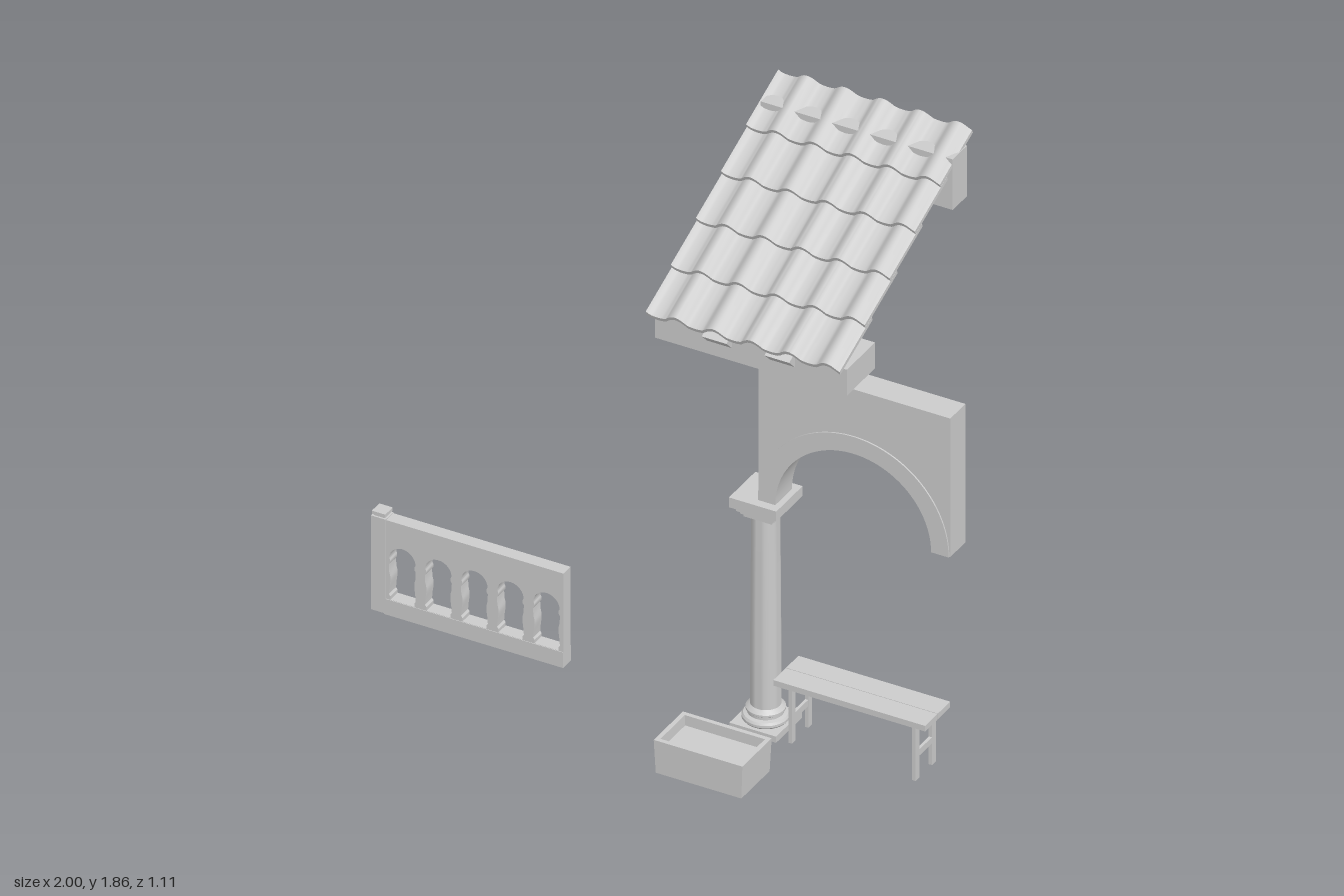
import * as THREE from 'three';
import { toCreasedNormals } from 'three/addons/utils/BufferGeometryUtils.js';

const grey = new THREE.MeshStandardMaterial({ color: 0xcccccc });

function add(parent, name, geometry) {
  const mesh = new THREE.Mesh(geometry, grey);
  mesh.name = name;
  parent.add(mesh);
  return mesh;
}

// Box given by its minimum and maximum on each axis
function box(parent, name, x0, x1, y0, y1, z0, z1) {
  const g = new THREE.BoxGeometry(x1 - x0, y1 - y0, z1 - z0);
  g.translate((x0 + x1) / 2, (y0 + y1) / 2, (z0 + z1) / 2);
  return add(parent, name, g);
}

// Outline in x, y extruded between two depths
function slab(shape, z0, z1) {
  const g = new THREE.ExtrudeGeometry(shape, { depth: z1 - z0, bevelEnabled: false, curveSegments: 32 });
  g.translate(0, 0, z0);
  return toCreasedNormals(g, 0.6);
}

function group(parent, name) {
  const g = new THREE.Group();
  g.name = name;
  parent.add(g);
  return g;
}

function buildRoof(root) {
  const roof = group(root, 'roof');

  // Wavy tile section: round humps with shallow troughs between
  const height = (x) => {
    const pitch = 0.1295;
    const d = x - 0.105 - Math.round((x - 0.105) / pitch) * pitch;
    return Math.abs(d) < 0.038
      ? 0.024 * Math.cos((Math.PI * d) / 0.076)
      : -0.004 * Math.sin((Math.PI * (Math.abs(d) - 0.038)) / 0.0535);
  };
  const top = [], bottom = [];
  const n = 80, thick = 0.013;
  for (let i = 0; i <= n; i++) {
    const x = 0.003 + (0.662 * i) / n;
    top.push(new THREE.Vector2(x, height(x)));
    bottom.unshift(new THREE.Vector2(x, height(x) - thick));
  }
  const tiles = slab(new THREE.Shape([...bottom, ...top]), -0.215, 0);
  for (let i = 0; i < 5; i++) {
    const row = add(roof, 'tileRow', tiles);
    row.position.set(0, 1.431 + 0.08 * i, 0.255 - 0.154 * i);
    row.rotation.x = 0.4;
  }

  // Sloping rafters
  const side = new THREE.Shape([
    [0.25, 1.405], [0.217, 1.372], [0.18, 1.365], [-0.46, 1.7], [-0.5, 1.79],
  ].map((p) => new THREE.Vector2(...p)));
  for (const x of [0.2325, 0.4475]) {
    const g = slab(side, -0.0425, 0.0425);
    g.rotateY(-Math.PI / 2);
    add(roof, 'rafter', g).position.x = x;
  }

  // Beams carrying the rafters
  box(roof, 'lowerBeam', 0.01, 0.668, 1.325, 1.417, 0.042, 0.215);
  box(roof, 'upperBeam', 0.01, 0.668, 1.62, 1.8, -0.523, -0.435);
}

function buildArch(root) {
  const arch = group(root, 'archWall');
  const cx = 0.67, base = 0.832;

  const wall = new THREE.Shape();
  wall.moveTo(0.342, base);
  wall.lineTo(cx - 0.274, base);
  wall.absarc(cx, base, 0.274, Math.PI, 0, true);
  wall.lineTo(1, base);
  wall.lineTo(1, 1.325);
  wall.lineTo(0.342, 1.325);
  add(arch, 'wall', slab(wall, 0.082, 0.175));

  // Raised band around the opening
  const band = new THREE.Shape();
  band.absarc(cx, base, 0.327, 0, Math.PI, false);
  band.absarc(cx, base, 0.267, Math.PI, 0, true);
  add(arch, 'archBand', slab(band, 0.077, 0.18));
}

function buildColumn(root) {
  const column = group(root, 'column');
  column.position.set(0.342, 0, 0.129);
  const square = (name, half, y0, y1) => box(column, name, -half, half, y0, y1, -half, half);

  square('plinth', 0.08, 0.008, 0.03);
  const profile = [
    [0, 0.03], [0.068, 0.03], [0.073, 0.036], [0.073, 0.044], [0.068, 0.051], [0.056, 0.054],
    [0.056, 0.062], [0.061, 0.066], [0.061, 0.073], [0.055, 0.079], [0.048, 0.085],
    [0.047, 0.3], [0.0455, 0.55], [0.0435, 0.76], [0, 0.76],
  ].map((p) => new THREE.Vector2(...p));
  add(column, 'shaft', toCreasedNormals(new THREE.LatheGeometry(profile, 32), 0.6));

  // Stepped square capital
  square('capitalNeck', 0.049, 0.757, 0.769);
  square('capitalStep', 0.057, 0.769, 0.78);
  square('capitalStep', 0.066, 0.78, 0.797);
  square('abacus', 0.081, 0.797, 0.832);
}

function buildBench(root) {
  const bench = group(root, 'bench');
  box(bench, 'seatPlank', 0.41, 0.93, 0.205, 0.225, 0.128, 0.204);
  box(bench, 'seatPlank', 0.41, 0.93, 0.205, 0.225, 0.05, 0.126);
  for (const x of [0.46, 0.884]) {
    for (const z of [0.078, 0.179]) {
      box(bench, 'leg', x - 0.006, x + 0.006, 0.008, 0.205, z - 0.011, z + 0.011);
    }
    box(bench, 'crossbar', x - 0.005, x + 0.005, 0.085, 0.107, 0.08, 0.177);
  }
}

function buildPlanter(root) {
  const planter = group(root, 'planter');
  planter.position.set(0.342, 0, 0.455);

  const rect = (w, d) => [[-w, -d], [w, -d], [w, d], [-w, d]].map((p) => new THREE.Vector2(...p));
  const outline = new THREE.Shape(rect(0.152, 0.09));
  outline.holes.push(new THREE.Path(rect(0.137, 0.075)));
  const g = slab(outline, 0.018, 0.135);
  g.rotateX(-Math.PI / 2);
  // Sides narrow slightly towards the bottom
  const p = g.attributes.position;
  for (let i = 0; i < p.count; i++) {
    if (p.getY(i) < 0.05) p.setXYZ(i, p.getX(i) * 0.965, p.getY(i), p.getZ(i) * 0.965);
  }
  add(planter, 'sides', toCreasedNormals(g, 0.6));
  box(planter, 'floor', -0.135, 0.135, 0.0185, 0.1, -0.073, 0.073);
  for (const x of [-0.11, 0.11]) {
    for (const z of [-0.06, 0.06]) box(planter, 'foot', x - 0.012, x + 0.012, 0.008, 0.019, z - 0.012, z + 0.012);
  }
}

function buildBalustrade(root) {
  const rail = group(root, 'balustrade');

  const panel = new THREE.Shape([
    [-0.955, 0.05], [-0.342, 0.05], [-0.342, 0.335], [-0.955, 0.335],
  ].map((p) => new THREE.Vector2(...p)));

  // Arched openings whose sides shape the balusters between them
  const edge = [
    [0.041, 0.056], [0.041, 0.068], [0.046, 0.075], [0.044, 0.1], [0.041, 0.122],
    [0.041, 0.138], [0.045, 0.155], [0.046, 0.18], [0.042, 0.186], [0.042, 0.198], [0.045, 0.203],
  ];
  for (let i = 0; i < 5; i++) {
    const cx = -0.894 + 0.1235 * i;
    const hole = new THREE.Path();
    hole.moveTo(cx - edge[0][0], edge[0][1]);
    edge.forEach(([w, y]) => hole.lineTo(cx + w, y));
    hole.absarc(cx, 0.203, 0.045, 0, Math.PI, false);
    [...edge].reverse().forEach(([w, y]) => hole.lineTo(cx - w, y));
    panel.holes.push(hole);
  }
  add(rail, 'arcade', slab(panel, 0.102, 0.146));

  box(rail, 'bottomRail', -0.955, -0.342, 0, 0.055, 0.1, 0.148);
  box(rail, 'endPost', -1, -0.95, 0.003, 0.337, 0.1, 0.148);
  box(rail, 'postNeck', -0.993, -0.957, 0.335, 0.345, 0.106, 0.142);
  box(rail, 'postCap', -0.998, -0.952, 0.343, 0.354, 0.101, 0.147);
}

export function createModel() {
  const root = new THREE.Group();
  root.name = 'courtyardPieces';
  buildRoof(root);
  buildArch(root);
  buildColumn(root);
  buildBench(root);
  buildPlanter(root);
  buildBalustrade(root);
  return root;
}
